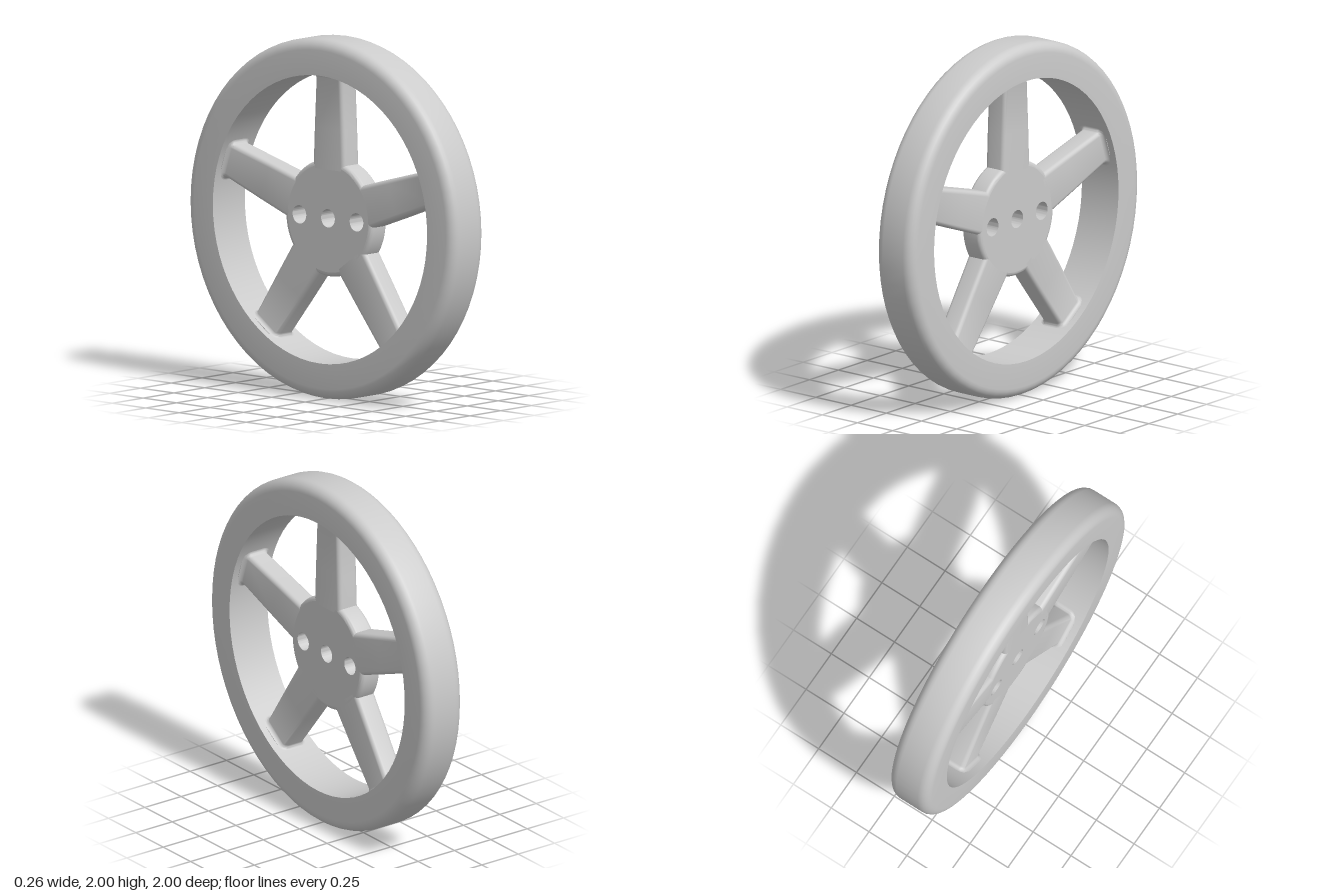
import * as THREE from 'three';
import { toCreasedNormals } from 'three/addons/utils/BufferGeometryUtils.js';

const material = new THREE.MeshStandardMaterial({ color: 0xcccccc });
const HALF = 0.065;      // half thickness of hub and spokes
const ROUND = 0.025;     // edge rounding of hub and spokes
const RIM_INNER = 0.8;

function add(parent, name, geometry) {
  const mesh = new THREE.Mesh(geometry, material);
  mesh.name = name;
  parent.add(mesh);
  return mesh;
}

// Points of a quarter arc in a lathe profile
function arc(cx, cy, r, from, steps = 6) {
  return Array.from({ length: steps + 1 }, (_, i) => {
    const a = from + (i / steps) * Math.PI / 2;
    return new THREE.Vector2(cx + r * Math.cos(a), cy + r * Math.sin(a));
  });
}

// Revolve a profile around the axle (x axis)
function revolve(points) {
  const g = new THREE.LatheGeometry(points, 72);
  g.rotateZ(-Math.PI / 2);
  return toCreasedNormals(g, 0.6);
}

// Spoke lofted through rounded rectangles, flaring into the rim
function spokeGeometry() {
  const sections = [[0.27, 0.121, 0], [0.5, 0.112, 0]];
  for (let i = 0; i <= 6; i++) {
    const t = (i / 6) * Math.PI / 2;
    sections.push([RIM_INNER - ROUND * (1 - Math.sin(t)), 0.099, ROUND * (1 - Math.cos(t))]);
  }
  sections.push([RIM_INNER + 0.004, 0.099, ROUND]);

  const corner = 5, ring = 4 * (corner + 1);
  const positions = [], index = [];
  sections.forEach(([radius, halfWidth, flare], s) => {
    for (let q = 0; q < 4; q++) {
      const sx = q === 0 || q === 3 ? 1 : -1;
      const sz = q < 2 ? 1 : -1;
      for (let k = 0; k <= corner; k++) {
        const a = (q + k / corner) * Math.PI / 2;
        const x = sx * (HALF - ROUND) + (ROUND + flare) * Math.cos(a);
        const z = sz * (halfWidth - ROUND) + (ROUND + flare) * Math.sin(a);
        // the outer sections follow the curve of the rim
        const y = s < 2 ? radius : Math.sqrt(radius * radius - z * z);
        positions.push(x, y, z);
      }
    }
    if (s === 0) return;
    for (let j = 0; j < ring; j++) {
      const n = (j + 1) % ring;
      const a = (s - 1) * ring + j, b = (s - 1) * ring + n;
      const c = s * ring + j, d = s * ring + n;
      index.push(a, c, b, b, c, d);
    }
  });
  const g = new THREE.BufferGeometry();
  g.setAttribute('position', new THREE.Float32BufferAttribute(positions, 3));
  g.setIndex(index);
  return toCreasedNormals(g, 0.6);
}

export function createModel() {
  const group = new THREE.Group();
  group.name = 'wheel';
  const wheel = new THREE.Group();
  wheel.name = 'wheelBody';
  wheel.position.y = 1;
  group.add(wheel);

  // Rim: rounded outside, sharp inner edges
  const w = 0.13, r = 0.06;
  add(wheel, 'rim', revolve([
    new THREE.Vector2(RIM_INNER, -w),
    ...arc(1 - r, -w + r, r, -Math.PI / 2),
    ...arc(1 - r, w - r, r, 0),
    new THREE.Vector2(RIM_INNER, w),
    new THREE.Vector2(RIM_INNER, -w),
  ]));

  // Hub plate with three bolt holes in a row
  const hubRadius = 0.325;
  const plate = new THREE.Shape().absarc(0, 0, hubRadius - ROUND, 0, Math.PI * 2);
  for (const x of [-0.213, 0, 0.213]) {
    plate.holes.push(new THREE.Path().absarc(x, 0, 0.051, 0, Math.PI * 2, true));
  }
  const plateGeometry = new THREE.ExtrudeGeometry(plate, {
    depth: HALF * 2, bevelEnabled: false, curveSegments: 36,
  });
  plateGeometry.translate(0, 0, -HALF);
  plateGeometry.rotateY(Math.PI / 2);
  add(wheel, 'hubPlate', toCreasedNormals(plateGeometry, 0.6));

  // Rounded edge around the hub
  add(wheel, 'hubEdge', revolve([
    ...arc(hubRadius - ROUND, -HALF + ROUND, ROUND, -Math.PI / 2),
    ...arc(hubRadius - ROUND, HALF - ROUND, ROUND, 0),
  ]));

  // Five spokes
  const spoke = spokeGeometry();
  for (let i = 0; i < 5; i++) {
    add(wheel, 'spoke' + (i + 1), spoke).rotation.x = (i / 5) * Math.PI * 2;
  }
  return group;
}
